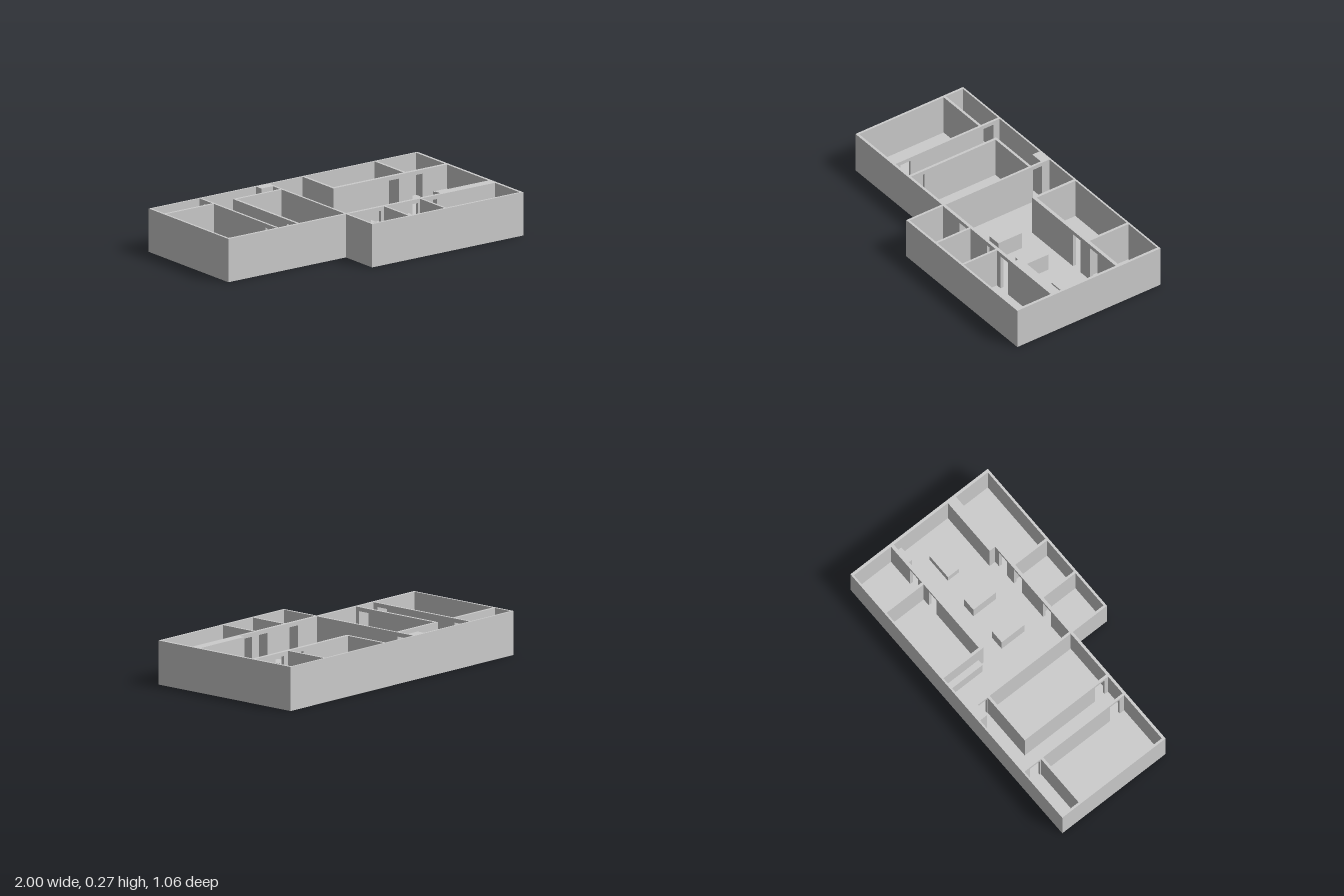
import * as THREE from 'three';

const FLOOR = 0.008, TOP = 0.27, DOOR_TOP = 0.245;
const material = new THREE.MeshStandardMaterial({ color: 0xcccccc, flatShading: true });

// Box between two plan corners (x, z) and two heights
function block(parent, name, [x0, z0, x1, z1], y0, y1) {
  const mesh = new THREE.Mesh(new THREE.BoxGeometry(x1 - x0, y1 - y0, z1 - z0), material);
  mesh.position.set((x0 + x1) / 2, (y0 + y1) / 2, (z0 + z1) / 2);
  mesh.name = name;
  parent.add(mesh);
}

// Wall along its longer plan side; doors are [start, end] gaps closed by a lintel
function wall(parent, name, rect, doors = []) {
  const group = new THREE.Group();
  group.name = name;
  const axis = rect[2] - rect[0] > rect[3] - rect[1] ? 0 : 1;
  const span = (a, b) => {
    const r = [...rect];
    r[axis] = a;
    r[axis + 2] = b;
    return r;
  };
  let start = rect[axis];
  for (const [a, b] of doors) {
    block(group, 'wallPanel', span(start, a), FLOOR, TOP);
    block(group, 'doorLintel', span(a, b), DOOR_TOP, TOP);
    start = b;
  }
  block(group, 'wallPanel', span(start, rect[axis + 2]), FLOOR, TOP);
  parent.add(group);
}

export function createModel() {
  const model = new THREE.Group();
  model.name = 'floorPlan';

  // Floor slab with the front corner cut away
  const outline = [[-1, -0.53], [1, -0.53], [1, 0.53], [-0.125, 0.53], [-0.125, 0.267], [-1, 0.267]];
  const shape = new THREE.Shape(outline.map(([x, z]) => new THREE.Vector2(x, -z)));
  const slab = new THREE.Mesh(
    new THREE.ExtrudeGeometry(shape, { depth: FLOOR, bevelEnabled: false }).rotateX(-Math.PI / 2),
    material);
  slab.name = 'floorSlab';
  model.add(slab);

  // Outer walls
  wall(model, 'backWall', [-1, -0.53, 1, -0.518]);
  wall(model, 'leftWingEndWall', [-1, -0.518, -0.985, 0.25]);
  wall(model, 'rightEndWall', [0.982, -0.518, 1, 0.515]);
  wall(model, 'frontWall', [-0.125, 0.515, 1, 0.53]);
  wall(model, 'frontWingSideWall', [-0.125, 0.267, -0.11, 0.515]);
  wall(model, 'leftWingFrontWall', [-1, 0.25, -0.11, 0.267]);

  // Left wing partitions
  wall(model, 'hallWestWall', [-0.63, -0.518, -0.615, 0.25], [[-0.475, -0.4], [0.14, 0.215]]);
  wall(model, 'storeRoomWall', [-0.985, -0.392, -0.63, -0.375]);
  wall(model, 'hallEastWall', [-0.477, -0.392, -0.46, 0.25], [[0.15, 0.225]]);
  wall(model, 'hallSideWall', [-0.46, -0.392, -0.125, -0.375]);
  wall(model, 'livingWestWall', [-0.125, -0.518, -0.11, 0.25], [[-0.463, -0.395]]);
  block(model, 'hallCornerColumn', [-0.21, -0.518, -0.125, -0.465], FLOOR, TOP);

  // Back rooms
  wall(model, 'kitchenSideWall', [0.136, -0.518, 0.154, -0.21]);
  wall(model, 'backRoomsWall', [0.154, -0.232, 0.982, -0.21], [[0.55, 0.625], [0.725, 0.8]]);
  wall(model, 'backRoomsDivider', [0.673, -0.518, 0.69, -0.232]);

  // Front rooms
  wall(model, 'frontRoomsWall', [-0.11, 0.25, 0.982, 0.27], [[0.06, 0.135], [0.335, 0.41], [0.475, 0.55]]);
  wall(model, 'frontDividerLeft', [0.155, 0.27, 0.17, 0.515]);
  wall(model, 'frontDividerRight', [0.423, 0.27, 0.438, 0.515]);
  block(model, 'thickWall', [0.588, 0.207, 0.982, 0.25], FLOOR, TOP);

  // Fixed furniture
  block(model, 'kitchenCounter', [0.096, -0.518, 0.136, -0.248], FLOOR, 0.12);
  block(model, 'cornerCabinet', [0.88, -0.21, 0.982, -0.152], FLOOR, 0.12);
  block(model, 'island', [0.135, -0.07, 0.225, 0.105], FLOOR, 0.12);
  block(model, 'diningTable', [0.402, -0.07, 0.492, 0.105], FLOOR, 0.12);
  block(model, 'lowTable', [0.673, -0.045, 0.845, 0.04], FLOOR, 0.07);

  return model;
}
